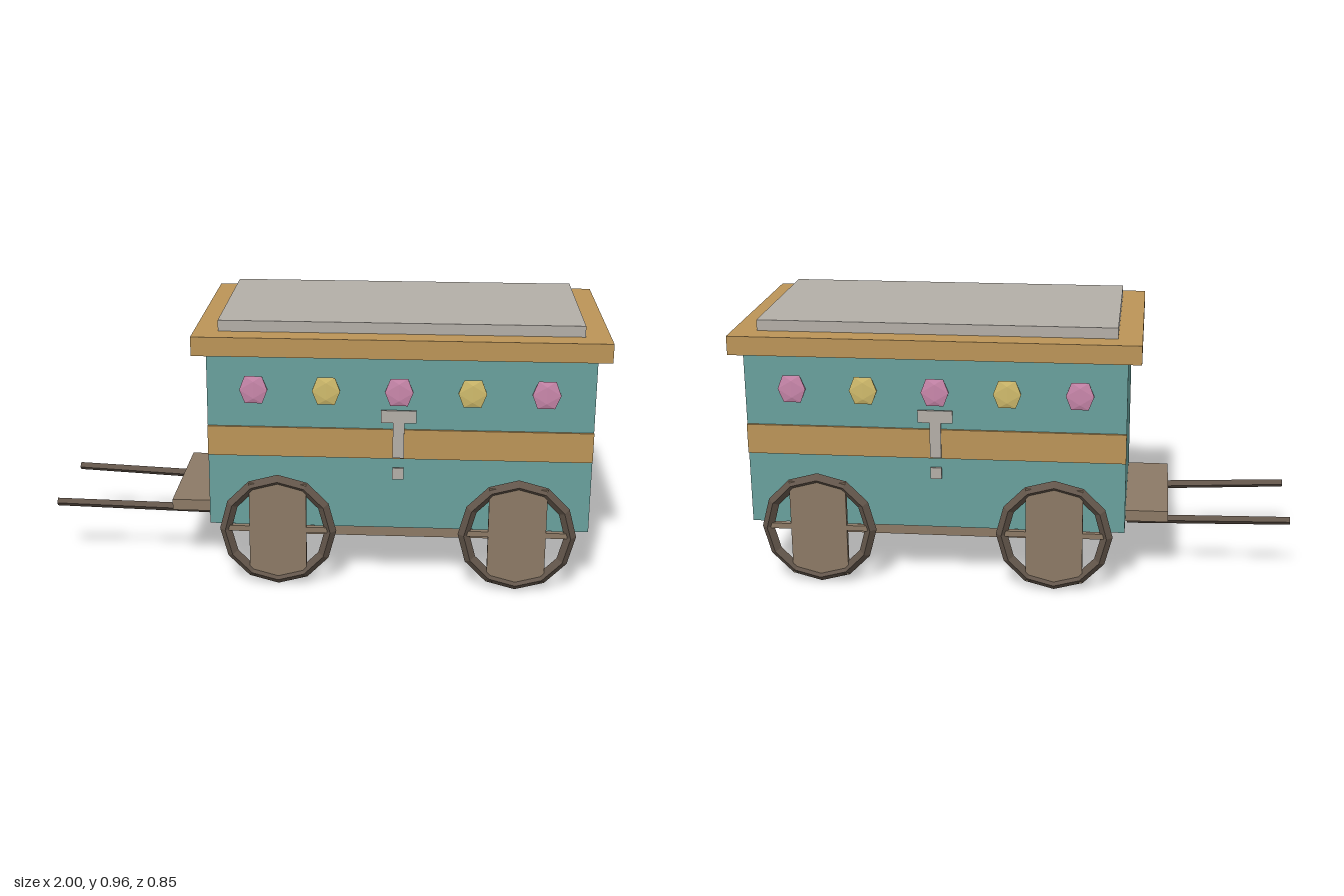
import * as THREE from 'three';

const mat = (name, color) => {
  const m = new THREE.MeshStandardMaterial({ color });
  m.name = name;
  return m;
};

export function createModel() {
  const group = new THREE.Group();
  group.name = 'wagon';
  const teal = mat('teal paint', 0x69a19d);
  const gold = mat('ochre trim', 0xbc9558);
  const grey = mat('pale grey', 0xb4afa8);
  const brown = mat('brown wood', 0x8c7a66);
  const dark = mat('dark wood', 0x62554a);
  const pink = mat('pink gem', 0xc987ab);
  const yellow = mat('yellow gem', 0xd0bb6c);
  dark.flatShading = pink.flatShading = yellow.flatShading = true;

  const add = (name, geometry, material, parent = group) => {
    const mesh = new THREE.Mesh(geometry, material);
    mesh.name = name;
    parent.add(mesh);
    return mesh;
  };
  // Box given by its limits on each axis
  const box = (name, material, x0, x1, y0, y1, z0, z1, parent) => {
    const mesh = add(name, new THREE.BoxGeometry(x1 - x0, y1 - y0, z1 - z0), material, parent);
    mesh.position.set((x0 + x1) / 2, (y0 + y1) / 2, (z0 + z1) / 2);
    return mesh;
  };

  // Cabin and roof
  box('cabin', teal, -0.4, 0.955, 0.21, 0.85, -0.363, 0.363);
  box('roofRim', gold, -0.447, 1, 0.848, 0.916, -0.405, 0.405);
  box('roofPanel', grey, -0.362, 0.912, 0.916, 0.955, -0.32, 0.32);
  box('door', brown, 0.961, 0.967, 0.273, 0.656, -0.128, 0.128);

  // Underside board and driver's step
  box('undercarriage', brown, -0.225, 0.78, 0.103, 0.145, -0.191, 0.191);
  box('driverStep', brown, -0.555, -0.4, 0.213, 0.254, -0.255, 0.255);

  // Wheel with a broad plank and a thin cross spoke
  const addWheel = (x, z) => {
    const wheel = new THREE.Group();
    wheel.name = 'wheel';
    wheel.position.set(x, 0.208, z);
    group.add(wheel);
    add('wheelRim', new THREE.TorusGeometry(0.188, 0.021, 4, 12), dark, wheel);
    box('wheelPlank', brown, -0.102, 0.102, -0.178, 0.178, -0.01, 0.01, wheel);
    box('wheelSpoke', brown, -0.18, 0.18, -0.005, 0.015, -0.01, 0.01, wheel);
  };

  for (const side of [1, -1]) {
    // Trim plate on the cabin side
    const trim = box('sideBand', gold, -0.4, 0.955, 0.475, 0.583, 0.362, 0.372);
    trim.position.z *= side;

    // Row of alternating gems
    for (let i = 0; i < 5; i++) {
      const gem = add('gem', new THREE.IcosahedronGeometry(0.058, 0), i % 2 ? yellow : pink);
      gem.scale.z = 0.13;
      gem.position.set(-0.235 + i * 0.255, 0.72, side * 0.372);
    }

    // Metal hasp: crossbar, strap and stud
    const hasp = new THREE.Group();
    hasp.name = 'hasp';
    hasp.position.set(0.275, 0, side * 0.375);
    group.add(hasp);
    box('haspBar', grey, -0.062, 0.062, 0.61, 0.655, -0.004, 0.004, hasp);
    box('haspStrap', grey, -0.02, 0.02, 0.48, 0.61, -0.004, 0.004, hasp);
    box('haspStud', grey, -0.02, 0.02, 0.4, 0.442, -0.004, 0.004, hasp);

    for (const x of [-0.15, 0.7]) addWheel(x, side * 0.405);

    // Square pulling shaft set on its corner
    const start = new THREE.Vector3(-1, 0.21, side * 0.195);
    const end = new THREE.Vector3(-0.405, 0.19, side * 0.175);
    const dir = end.clone().sub(start);
    const shaft = add('shaft', new THREE.CylinderGeometry(0.017, 0.015, dir.length(), 4), dark);
    shaft.position.copy(start).add(end).multiplyScalar(0.5);
    shaft.quaternion.setFromUnitVectors(new THREE.Vector3(0, 1, 0), dir.normalize());
  }
  return group;
}
